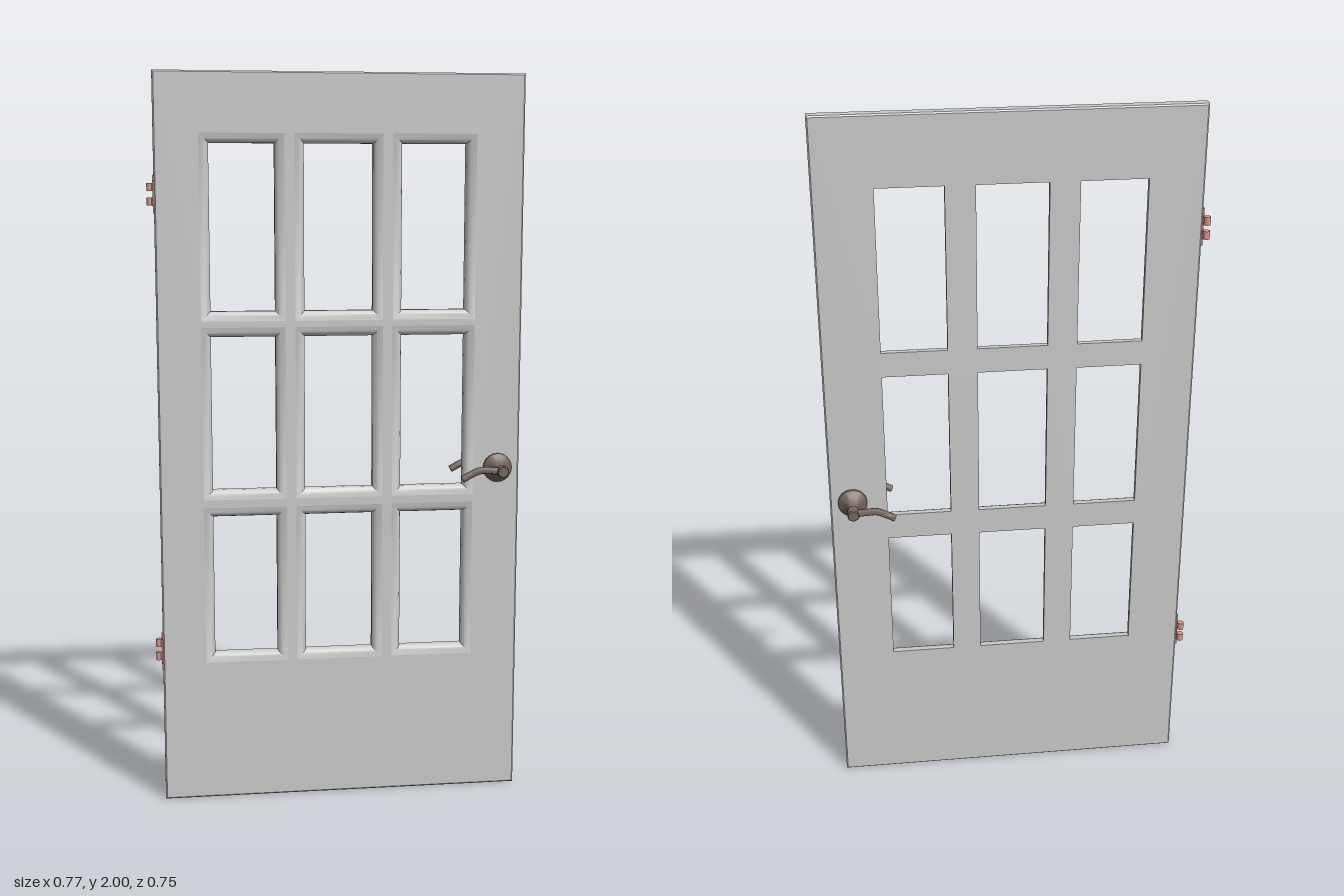
import * as THREE from 'three';
import { toCreasedNormals } from 'three/addons/utils/BufferGeometryUtils.js';

const grey = new THREE.MeshStandardMaterial({ color: 0xcccccc });
const bronze = new THREE.MeshStandardMaterial({ color: 0x75665f });
const copper = new THREE.MeshStandardMaterial({ color: 0xd9988f });

// Slab in its own frame: x along the width, z through the thickness
const BACK = -0.012, FRONT = 0.021, MID = (BACK + FRONT) / 2, CHAMFER = 0.004;
const DOOR = [-0.507, 0, 0.491, 2];
const COLUMNS = [[-0.362, -0.187], [-0.108, 0.079], [0.158, 0.334]];
const ROWS = [[0.419, 0.806], [0.88, 1.3], [1.369, 1.814]];
const PANES = ROWS.flatMap(([y0, y1]) => COLUMNS.map(([x0, x1]) => [x0, y0, x1, y1]));
const MOULDING = [[0, BACK], [0, 0.004], [0.003, 0.011], [0.01, 0.016], [0.018, 0.0185], [0.026, FRONT]];
const HANDLE_X = 0.429, HANDLE_Y = 0.928;

function add(parent, name, geometry, material) {
  const mesh = new THREE.Mesh(geometry, material);
  mesh.name = name;
  parent.add(mesh);
  return mesh;
}

// Four corners of a rectangle grown outwards by g
function corners([x0, y0, x1, y1], g) {
  return [[x0 - g, y0 - g], [x1 + g, y0 - g], [x1 + g, y1 + g], [x0 - g, y1 + g]];
}

// Sweep a profile of [grow, z] points round a rectangle with mitred corners
function rectLoft(rect, profile) {
  const pos = [];
  for (let i = 0; i < profile.length - 1; i++) {
    const [ga, za] = profile[i], [gb, zb] = profile[i + 1];
    const A = corners(rect, ga), B = corners(rect, gb);
    for (let k = 0; k < 4; k++) {
      const n = (k + 1) % 4;
      const a = [...A[k], za], b = [...B[k], zb], c = [...B[n], zb], d = [...A[n], za];
      pos.push(...a, ...b, ...c, ...a, ...c, ...d);
    }
  }
  const g = new THREE.BufferGeometry();
  g.setAttribute('position', new THREE.Float32BufferAttribute(pos, 3));
  return toCreasedNormals(g, 0.65);
}

// Flat door face with nine openings; side is 1 for front, -1 for back
function doorFace(side, grow) {
  const points = (r, g) => corners(r, g).map(([x, y]) => new THREE.Vector2(x * side, y));
  const shape = new THREE.Shape(points(DOOR, -CHAMFER));
  PANES.forEach(p => shape.holes.push(new THREE.Path(points(p, grow))));
  const g = new THREE.ShapeGeometry(shape);
  if (side < 0) g.rotateY(Math.PI);
  return g.translate(0, 0, side > 0 ? FRONT : BACK);
}

function makeDoor() {
  const door = new THREE.Group();
  door.name = 'doorPanel';
  add(door, 'frontFace', doorFace(1, 0.026), grey);
  add(door, 'backFace', doorFace(-1, 0), grey);
  add(door, 'doorEdge', rectLoft(DOOR, [
    [-CHAMFER, FRONT], [0, FRONT - CHAMFER], [0, BACK + CHAMFER], [-CHAMFER, BACK],
  ]), grey);
  PANES.forEach(p => add(door, 'paneMoulding', rectLoft(p, MOULDING), grey));
  return door;
}

// Turned rosette and neck with a drooping lever
function makeHandle(side) {
  const handle = new THREE.Group();
  handle.name = side > 0 ? 'frontHandle' : 'backHandle';
  const profile = [[0.04, 0.015], [0.04, 0.024], [0.034, 0.029], [0.025, 0.036], [0.018, 0.046],
    [0.014, 0.056], [0.013, 0.067], [0.016, 0.067], [0.016, 0.095], [0.014, 0.0975], [0, 0.0975]]
    .map(([r, d]) => new THREE.Vector2(r, d));
  const turned = toCreasedNormals(new THREE.LatheGeometry(profile, 24), 0.65);
  turned.rotateX(side * Math.PI / 2);
  add(handle, 'rosetteAndNeck', turned, bronze);

  const path = new THREE.CatmullRomCurve3(
    [[0, 0], [-0.035, 0.003], [-0.065, 0.003], [-0.09, -0.008], [-0.112, -0.02]]
      .map(([x, y]) => new THREE.Vector3(x, y, side * 0.083)));
  const section = new THREE.Shape();
  section.absarc(0, 0, 0.0098, 0, Math.PI * 2);
  const lever = new THREE.ExtrudeGeometry(section, { steps: 14, curveSegments: 10, extrudePath: path });
  add(handle, 'lever', toCreasedNormals(lever, 0.8), bronze);

  handle.position.set(HANDLE_X, HANDLE_Y, MID);
  return handle;
}

// Leaf on the door's end with two knuckles at the back corner
function makeHinge(y) {
  const hinge = new THREE.Group();
  hinge.name = 'hinge';
  add(hinge, 'hingeLeaf', new THREE.BoxGeometry(0.004, 0.1, 0.03), copper).position.set(-0.508, 0, 0.004);
  for (const s of [-1, 1]) {
    add(hinge, 'hingeKnuckle', new THREE.CylinderGeometry(0.009, 0.009, 0.022, 16), copper)
      .position.set(-0.517, s * 0.019, -0.018);
    const neck = add(hinge, 'hingeNeck', new THREE.BoxGeometry(0.016, 0.022, 0.005), copper);
    neck.position.set(-0.512, s * 0.019, -0.013);
    neck.rotation.y = -Math.PI / 4;
  }
  hinge.position.y = y;
  return hinge;
}

export function createModel() {
  const model = new THREE.Group();
  model.name = 'glazedDoor';
  const swung = new THREE.Group();
  swung.name = 'swungDoor';
  swung.rotation.y = Math.PI / 4;
  swung.add(makeDoor(), makeHandle(1), makeHandle(-1), makeHinge(1.68), makeHinge(0.427));
  model.add(swung);
  return model;
}
